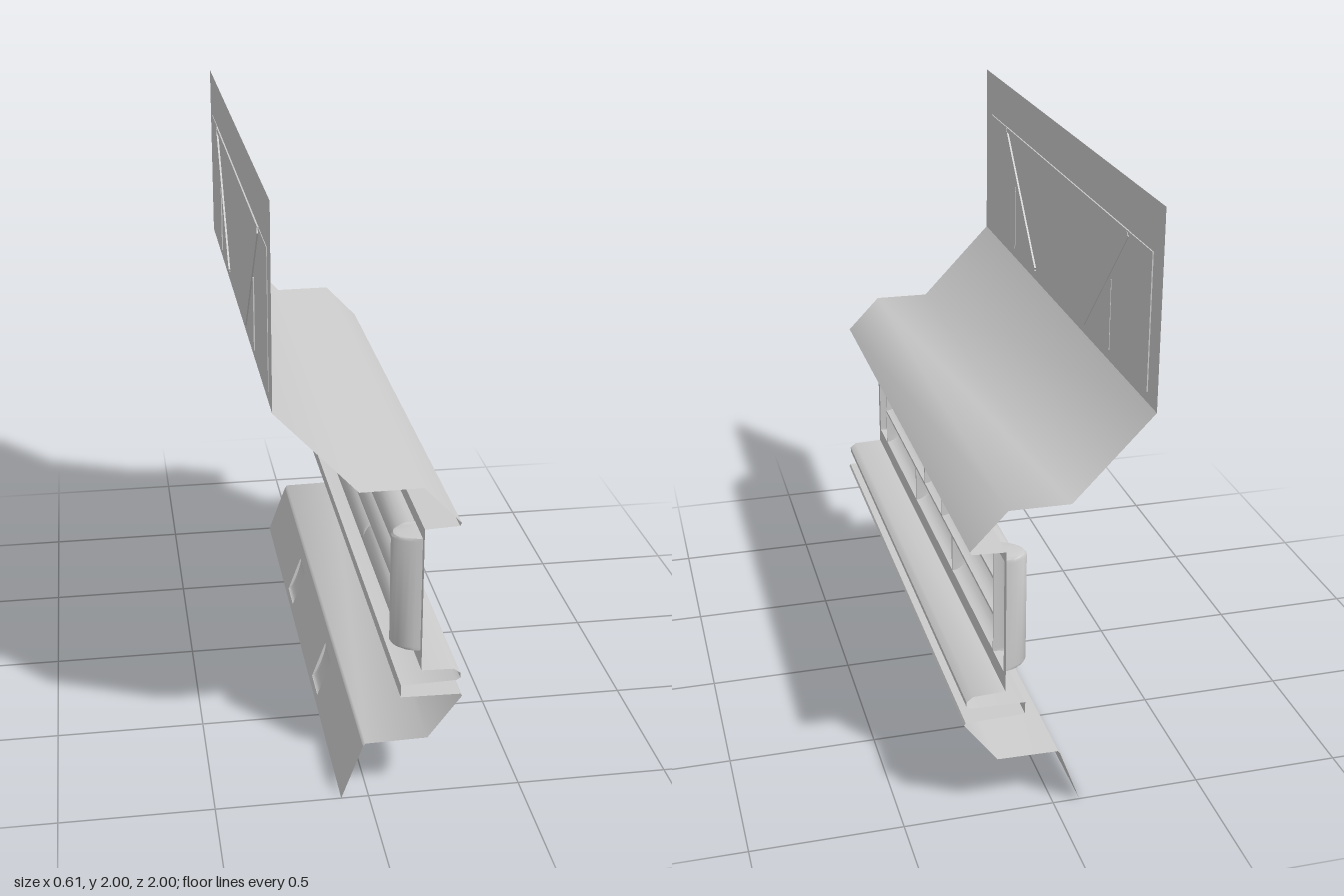
import * as THREE from 'three';
import { toCreasedNormals } from 'three/addons/utils/BufferGeometryUtils.js';

const mat = new THREE.MeshStandardMaterial({ color: 0xcccccc, side: THREE.DoubleSide });

function add(parent, name, geo) {
  const mesh = new THREE.Mesh(geo, mat);
  mesh.name = name;
  parent.add(mesh);
  return mesh;
}

// Grid surface from rows of equally many points
function skin(rows, crease) {
  const n = rows[0].length, index = [];
  for (let i = 0; i < rows.length - 1; i++) {
    for (let j = 0; j < n - 1; j++) {
      const a = i * n + j, b = a + n;
      index.push(a, b, a + 1, b, b + 1, a + 1);
    }
  }
  const geo = new THREE.BufferGeometry();
  geo.setAttribute('position', new THREE.Float32BufferAttribute(rows.flat(2), 3));
  geo.setIndex(index);
  geo.computeVertexNormals();
  return toCreasedNormals(geo, crease);
}

// Sheet that follows an (x, y) profile along the whole length
const strip = (profile, crease) =>
  skin([1, -1].map((z) => profile.map(([x, y]) => [x, y, z])), crease);

// Hollow half-round shell, long axis on x, swelling towards +z
function shell(w, h, depth, round = 0.012) {
  const stations = [[-w / 2, 0], [-w / 2, 0.8], [-w / 2 + round * 0.3, 0.93], [-w / 2 + round, 1]];
  const all = [...stations, ...stations.map(([x, s]) => [-x, s]).reverse()];
  return skin(all.map(([x, s]) => {
    const row = [];
    for (let k = 0; k <= 14; k++) {
      const t = (k / 14) * Math.PI;
      row.push([x, (-Math.cos(t) * h) / 2, Math.sin(t) * depth * s]);
    }
    return row;
  }), 0.6);
}

const polygon = (pts) => new THREE.Shape(pts.map(([x, y]) => new THREE.Vector2(x, y)));
const rect = (x0, y0, x1, y1) => polygon([[x0, y0], [x1, y0], [x1, y1], [x0, y1]]);

// Group whose local x runs along the length and local z points to -x
function wallFrame(parent, name, x, y) {
  const g = new THREE.Group();
  g.name = name;
  g.position.set(x, y, 0);
  g.rotation.y = -Math.PI / 2;
  parent.add(g);
  return g;
}

export function createModel() {
  const model = new THREE.Group();
  model.name = 'wallTrim';

  // Upper wall with shallow relief
  const upper = wallFrame(model, 'upperWall', -0.3, 0);
  add(upper, 'upperSheet', new THREE.ShapeGeometry(rect(-1, 1.36, 1, 2)));
  const rib = (name, x0, y0, x1, y1, width, depth, z = 0) => {
    const m = add(upper, name, new THREE.BoxGeometry(Math.hypot(x1 - x0, y1 - y0), width, depth));
    m.position.set((x0 + x1) / 2, (y0 + y1) / 2, z);
    m.rotation.z = Math.atan2(y1 - y0, x1 - x0);
  };
  rib('topRib', -0.7, 1.832, 0.7, 1.832, 0.018, 0.01);
  for (const s of [1, -1]) {
    const plate = polygon([[0.29, 1.395], [0.915, 1.395], [0.915, 1.84], [0.7, 1.84]].map(([x, y]) => [x * s, y]));
    const geo = new THREE.ExtrudeGeometry(plate, { depth: 0.006, bevelEnabled: false });
    add(upper, 'cornerPlate', geo).position.z = -0.004;
    rib('diagonalRib', 0.7 * s, 1.83, 0.295 * s, 1.4, 0.02, 0.013);
    rib('uprightRib', 0.56 * s, 1.4, 0.56 * s, 1.64, 0.006, 0.012);
  }

  // Sloping cornice with its lip and underside
  add(model, 'cornice', strip([[-0.3, 1.36], [-0.04, 1.088], [0.16, 1.09], [0.28, 0.965]], 1.2));
  add(model, 'corniceUnderside', strip([[0.28, 0.965], [0.275, 0.955], [0.165, 0.95]], 0.5));

  // Openings of the block panel: [z0, y0, z1, y1, depth]
  const blocks = [];
  for (const [y0, y1, cut] of [[0.785, 0.905, 0.29], [0.655, 0.775, 0.138], [0.515, 0.645, 0.29]]) {
    blocks.push([-0.842, y0, -cut - 0.005, y1, 0.07], [-cut + 0.005, y0, cut - 0.005, y1, 0.07],
      [cut + 0.005, y0, 0.842, y1, 0.07]);
  }
  const columns = [-1, 1].map((s) => [s * 0.9115 - 0.0635, 0.513, s * 0.9115 + 0.0635, 0.907, 0.088]);

  // Block panel: pierced sheet with a shell over each opening
  const panel = wallFrame(model, 'blockPanel', 0.165, 0);
  const face = rect(-1, 0.455, 1, 0.95);
  for (const [x0, y0, x1, y1] of [...blocks, ...columns]) face.holes.push(rect(x0, y0, x1, y1));
  add(panel, 'panelSheet', new THREE.ShapeGeometry(face));
  for (const [x0, y0, x1, y1, d] of blocks) {
    add(panel, 'block', shell(x1 - x0, y1 - y0, d)).position.set((x0 + x1) / 2, (y0 + y1) / 2, 0);
  }
  for (const [x0, y0, x1, y1, d] of columns) {
    const m = add(panel, 'endColumn', shell(y1 - y0, x1 - x0, d));
    m.position.set((x0 + x1) / 2, (y0 + y1) / 2, 0);
    m.rotation.z = Math.PI / 2;
  }

  // Stepped ledge below the panel
  add(model, 'ledge', strip([[0.165, 0.455], [0.27, 0.452], [0.292, 0.435], [0.292, 0.418], [0.28, 0.41],
    [0.1, 0.405], [0.1, 0.362], [0.295, 0.358], [0.3, 0.35]], 0.7));

  // Lower cove
  add(model, 'cove', strip([[0.3, 0.35], [0.19, 0.204], [-0.012, 0.2], [-0.02, 0.19]], 1.2));

  // Tilted skirt with two pressed clips
  const tilt = new THREE.Group();
  tilt.name = 'skirt';
  tilt.position.set(-0.09, 0, 0);
  tilt.rotation.z = -Math.atan2(0.07, 0.19);
  model.add(tilt);
  const skirt = wallFrame(tilt, 'skirtFace', 0, 0);
  const skirtShape = rect(-1, 0, 1, Math.hypot(0.07, 0.19));
  for (const s of [-1, 1]) {
    skirtShape.holes.push(rect(s * 0.337 - 0.066, 0.022, s * 0.337 + 0.066, 0.162));
    add(skirt, 'clip', shell(0.132, 0.14, -0.014)).position.set(s * 0.337, 0.092, 0);
  }
  add(skirt, 'skirtSheet', new THREE.ShapeGeometry(skirtShape));

  return model;
}
